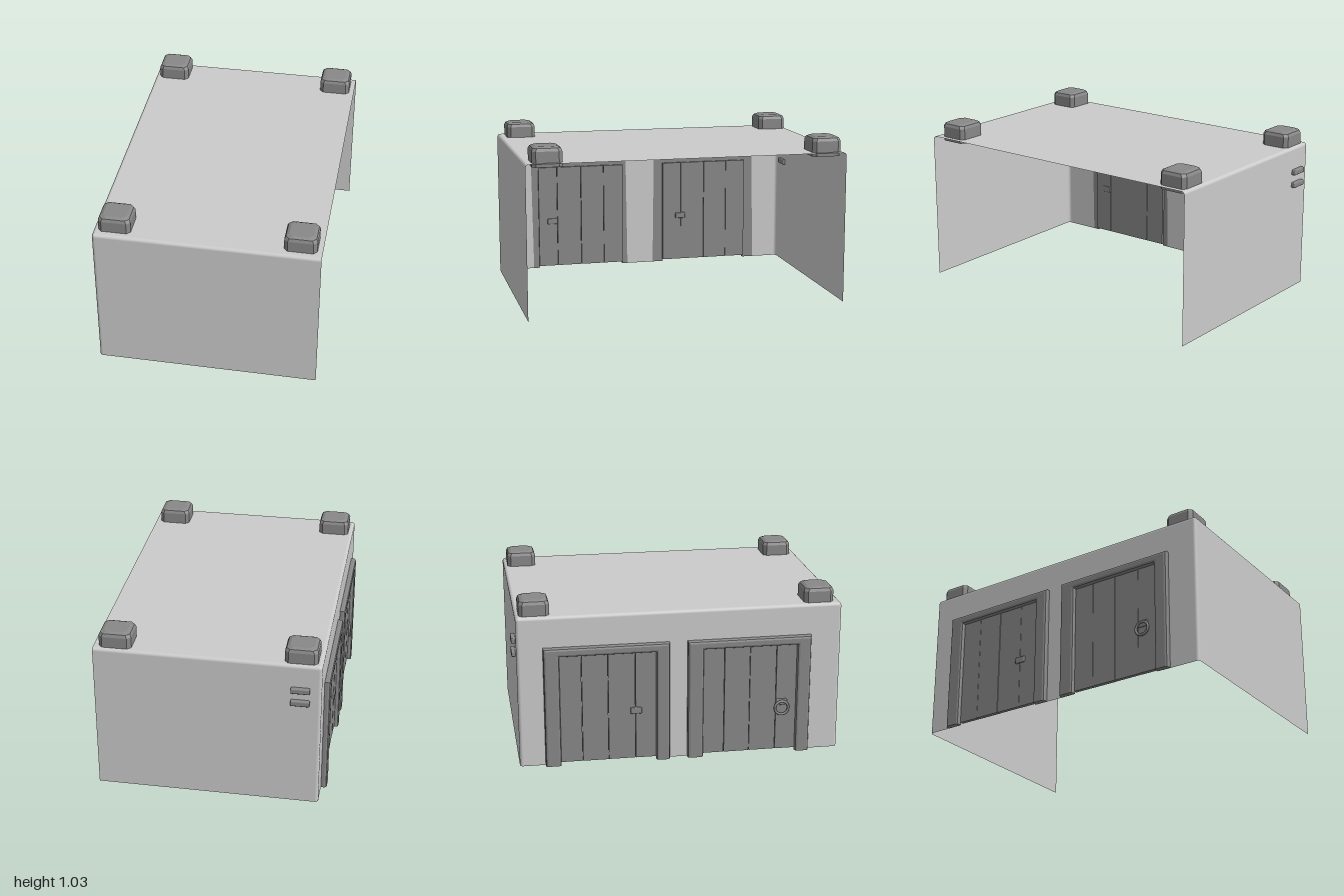
import * as THREE from 'three';
import { RoundedBoxGeometry } from 'three/addons/geometries/RoundedBoxGeometry.js';

const H = Math.PI / 2;
const X0 = -0.655, X1 = 0.69, Z0 = -0.975, Z1 = 1.0, TOP = 0.94, R = 0.02;
const light = new THREE.MeshStandardMaterial({ color: 0xcccccc, side: THREE.DoubleSide });
const dark = new THREE.MeshStandardMaterial({ color: 0x888888, side: THREE.DoubleSide });

function add(parent, name, geometry, material, x = 0, y = 0, z = 0) {
  const mesh = new THREE.Mesh(geometry, material);
  mesh.name = name;
  mesh.position.set(x, y, z);
  parent.add(mesh);
  return mesh;
}

// Shape drawn in (z, y), facing -x
function shapeZY(points) {
  return new THREE.Shape(points.map(([z, y]) => new THREE.Vector2(z, y)));
}

// Thin shell, open below and on the +x side, with rounded edges
function makeShell() {
  const g = new THREE.Group();
  g.name = 'shell';
  const lx = X1 - X0 - R, lz = Z1 - Z0 - 2 * R, ly = TOP - R;
  const cx = (X1 + X0 + R) / 2, cz = (Z0 + Z1) / 2;
  add(g, 'roof', new THREE.PlaneGeometry(lx, lz).rotateX(-H), light, cx, TOP, cz);
  add(g, 'frontWall', new THREE.PlaneGeometry(lx, ly), light, cx, ly / 2, Z1);
  add(g, 'backWall', new THREE.PlaneGeometry(lx, ly).rotateY(Math.PI), light, cx, ly / 2, Z0);

  // Wall with two doorways cut up from the ground
  const wall = shapeZY([
    [Z0 + R, 0], [-0.8, 0], [-0.785, 0.74], [-0.08, 0.74], [-0.07, 0],
    [0.11, 0], [0.12, 0.74], [0.775, 0.74], [0.765, 0], [Z1 - R, 0], [Z1 - R, ly], [Z0 + R, ly],
  ]);
  add(g, 'doorWall', new THREE.ShapeGeometry(wall).rotateY(-H), light, X0);

  // Rounded edges and corners
  const edge = (length, start) => new THREE.CylinderGeometry(R, R, length, 4, 1, true, start, H);
  add(g, 'roofEdge', edge(lz, Math.PI).rotateX(H), light, X0 + R, ly, cz);
  for (const s of [1, -1]) {
    const z = s > 0 ? Z1 - R : Z0 + R;
    add(g, 'roofEdge', edge(lx, s > 0 ? 0 : H).rotateZ(H), light, cx, ly, z);
    add(g, 'wallEdge', edge(ly, s > 0 ? 3 * H : Math.PI), light, X0 + R, ly / 2, z);
    add(g, 'corner', new THREE.SphereGeometry(R, 4, 4, s > 0 ? 0 : 3 * H, H, 0, H), light, X0 + R, ly, z);
  }
  return g;
}

// Roof block: chamfered rectangle stacked in rings, open underneath
function blockGeometry(w, d) {
  const ring = (y, inset) => {
    const a = w / 2 - inset, b = d / 2 - inset, c = 0.022;
    return [[a, b - c], [a - c, b], [c - a, b], [-a, b - c], [-a, c - b], [c - a, -b], [a - c, -b], [a, c - b]]
      .map(([x, z]) => [x, y, z]);
  };
  const rings = [ring(0.915, 0), ring(1.008, 0), ring(1.026, 0.008), ring(1.035, 0.026)];
  const p = [];
  for (let i = 0; i < 8; i++) {
    const j = (i + 1) % 8;
    for (let k = 0; k < 3; k++) {
      const [a, b, c, d2] = [rings[k][i], rings[k][j], rings[k + 1][j], rings[k + 1][i]];
      p.push(...a, ...c, ...b, ...a, ...d2, ...c);
    }
    p.push(0, 1.035, 0, ...rings[3][j], ...rings[3][i]);
  }
  const geo = new THREE.BufferGeometry();
  geo.setAttribute('position', new THREE.Float32BufferAttribute(p, 3));
  geo.computeVertexNormals();
  return geo;
}

// Bevelled U-shaped trim with a flat back against the wall
function frameGeometry(z0, z1, i0, i1) {
  const s = shapeZY([[z0, 0], [i0, 0], [i0, 0.695], [i1, 0.695], [i1, 0], [z1, 0], [z1, 0.75], [z0, 0.75]]);
  const geo = new THREE.ExtrudeGeometry(s, {
    depth: 0.02, bevelEnabled: true, bevelThickness: 0.015, bevelSize: 0.015, bevelOffset: -0.015, bevelSegments: 2,
  });
  geo.rotateY(-H).translate(-0.655, 0, 0);
  const pos = geo.attributes.position;
  for (let i = 0; i < pos.count; i++) {
    pos.setX(i, Math.min(pos.getX(i), -0.656));
    pos.setY(i, Math.max(pos.getY(i) < 0.02 ? 0 : pos.getY(i), 0));
  }
  geo.computeVertexNormals();
  return geo;
}

// Door: four upright boards, a latch plate and optionally a pull ring
function makeDoor(name, outer, inner, latchZ, hasRing) {
  const g = new THREE.Group();
  g.name = name;
  add(g, 'doorFrame', frameGeometry(...outer, ...inner), dark);
  const [a, b] = [inner[0] - 0.004, inner[1] + 0.004];
  const cuts = [0, 0.23, 0.5, 0.78, 1];
  for (let i = 0; i < 4; i++) {
    const z0 = a + (b - a) * cuts[i], z1 = a + (b - a) * cuts[i + 1];
    const t = 0.022 + 0.003 * (i % 2);
    add(g, 'doorBoard', new THREE.BoxGeometry(t, 0.682, z1 - z0 - 0.003), dark, -0.652, 0.356, (z0 + z1) / 2);
  }
  add(g, 'latchPlate', new RoundedBoxGeometry(0.042, 0.04, 0.07, 1, 0.006), dark, -0.654, 0.325, latchZ);
  if (hasRing) {
    add(g, 'pullRing', new THREE.TorusGeometry(0.042, 0.008, 8, 20).rotateY(H), dark, -0.68, 0.29, latchZ);
  }
  return g;
}

export function createModel() {
  const model = new THREE.Group();
  model.name = 'garage';
  model.add(makeShell());
  model.add(makeDoor('frontDoor', [0.05, 0.81], [0.147, 0.725], 0.635, true));
  model.add(makeDoor('backDoor', [-0.82, -0.06], [-0.725, -0.143], -0.265, false));

  // Corner blocks on the roof
  for (const x of [-0.53, 0.562]) {
    for (const z of [-0.862, 0.865]) add(model, 'roofBlock', blockGeometry(0.193, 0.182), dark, x, 0, z);
  }

  // Two short slats on the back wall
  for (const y of [0.697, 0.78]) {
    add(model, 'wallSlat', new RoundedBoxGeometry(0.112, 0.034, 0.042, 2, 0.007), dark, -0.532, y, -0.979);
  }
  return model;
}
